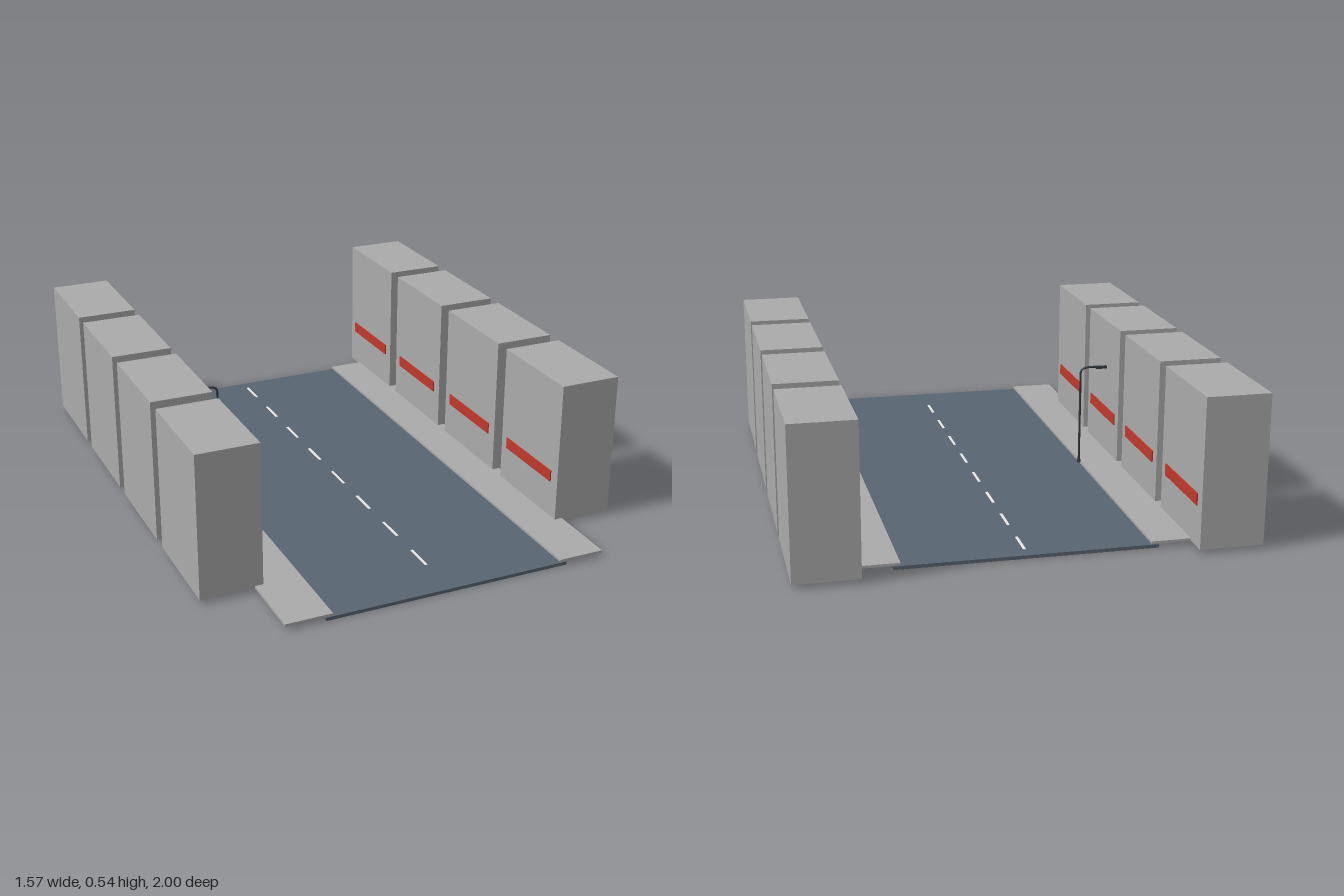
import * as THREE from 'three';

const mat = (name, color, side = THREE.FrontSide) => {
  const m = new THREE.MeshStandardMaterial({ color, side });
  m.name = name;
  return m;
};

export function createModel() {
  const concrete = mat('concrete grey', 0xaaaaaa);
  const asphalt = mat('asphalt blue grey', 0x586470);
  const paint = mat('road paint white', 0xe6e6e6);
  const red = mat('sign red', 0xc0392b);
  const iron = mat('lamp dark grey', 0x33383e);

  const street = new THREE.Group();
  street.name = 'street';

  const add = (parent, name, geometry, material, x = 0, y = 0, z = 0) => {
    const mesh = new THREE.Mesh(geometry, material);
    mesh.name = name;
    mesh.position.set(x, y, z);
    parent.add(mesh);
    return mesh;
  };
  // Box given by its min and max corners
  const box = (name, material, [x0, y0, z0], [x1, y1, z1]) =>
    add(street, name, new THREE.BoxGeometry(x1 - x0, y1 - y0, z1 - z0), material,
      (x0 + x1) / 2, (y0 + y1) / 2, (z0 + z1) / 2);

  // Road slab and dashed centre line
  const back = -0.915, front = 1;
  box('road', asphalt, [-0.45, 0, back], [0.45, 0.012, front]);
  for (let i = 0; i < 8; i++) {
    const z = -0.865 + i * 0.2257;
    box('laneDash', paint, [-0.005, 0.011, z], [0.005, 0.0135, z + 0.113]);
  }

  // Sidewalks, buildings and shop signs, mirrored across the road
  for (const s of [-1, 1]) {
    const span = (name, material, xIn, xOut, y0, y1, z0, z1) =>
      box(name, material, [Math.min(s * xIn, s * xOut), y0, z0],
        [Math.max(s * xIn, s * xOut), y1, z1]);
    span('sidewalk', concrete, 0.425, 0.592, 0.0145, 0.0235, back, front);
    for (let i = 0; i < 4; i++) {
      const z = -1 + i * 0.45;
      span('building', concrete, 0.5625, 0.786, 0.015, 0.541, z, z + 0.39);
      span('shopSign', red, 0.558, 0.563, 0.158, 0.2, z + 0.04, z + 0.348);
    }
  }

  // Street lamp: flared foot, bent pole, flat head
  const lamp = new THREE.Group();
  lamp.name = 'streetLamp';
  lamp.position.set(-0.419, 0.022, -0.07);
  street.add(lamp);
  add(lamp, 'lampFoot', new THREE.CylinderGeometry(0.006, 0.008, 0.012, 12), iron, 0, 0.006, 0);
  const path = new THREE.CurvePath();
  const v = (x, y) => new THREE.Vector3(x, y, 0);
  path.add(new THREE.LineCurve3(v(0, 0), v(0, 0.355)));
  path.add(new THREE.QuadraticBezierCurve3(v(0, 0.355), v(0, 0.376), v(-0.035, 0.377)));
  path.add(new THREE.LineCurve3(v(-0.035, 0.377), v(-0.075, 0.377)));
  add(lamp, 'lampPole', new THREE.TubeGeometry(path, 60, 0.0042, 8), iron);
  add(lamp, 'lampHead', new THREE.BoxGeometry(0.042, 0.009, 0.015), iron, -0.08, 0.374, 0);
  add(lamp, 'lampLens', new THREE.BoxGeometry(0.026, 0.002, 0.01), paint, -0.083, 0.369, 0);

  return street;
}
